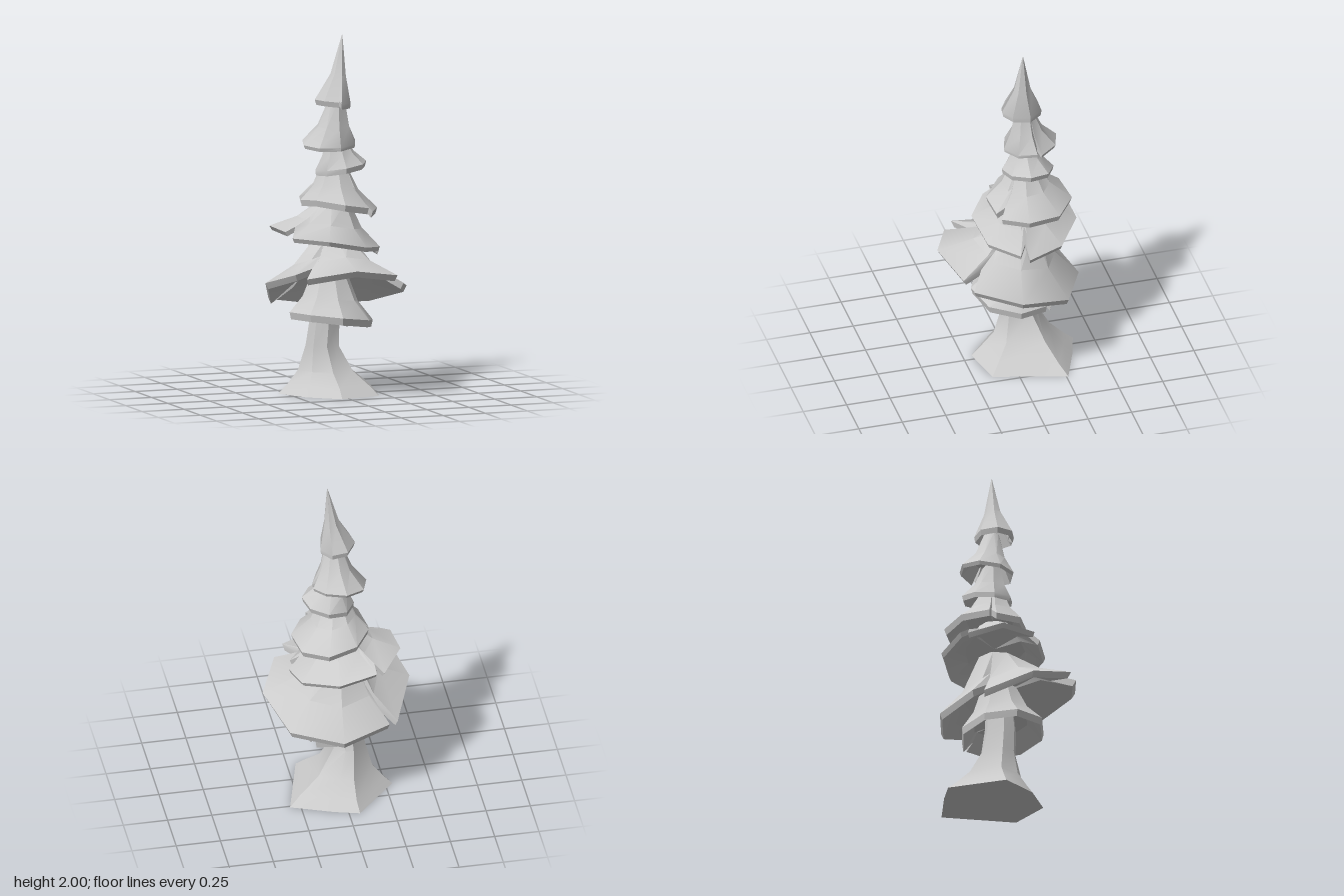
import * as THREE from 'three';
import { toCreasedNormals } from 'three/addons/utils/BufferGeometryUtils.js';

const V = (x, y, z) => new THREE.Vector3(x, y, z);
const material = new THREE.MeshStandardMaterial({ color: 0xcccccc });

// Skin a stack of equal-length rings (counter-clockwise from above) and cap both ends.
function loft(name, rings) {
  const n = rings[0].length;
  const pos = [];
  const tri = (...points) => points.forEach((p) => pos.push(p.x, p.y, p.z));
  const middle = (ring) => ring.reduce((sum, p) => sum.add(p), V(0, 0, 0)).divideScalar(n);
  const first = rings[0], last = rings[rings.length - 1];
  const low = middle(first), high = middle(last);
  for (let i = 0; i < n; i++) {
    const j = (i + 1) % n;
    tri(low, first[j], first[i]);
    for (let k = 0; k < rings.length - 1; k++) {
      const a = rings[k], b = rings[k + 1];
      tri(a[i], a[j], b[j]);
      tri(a[i], b[j], b[i]);
    }
    tri(high, last[i], last[j]);
  }
  const geometry = new THREE.BufferGeometry();
  geometry.setAttribute('position', new THREE.Float32BufferAttribute(pos, 3));
  const mesh = new THREE.Mesh(toCreasedNormals(geometry, 0.55), material);
  mesh.name = name;
  return mesh;
}

// Tilted polygonal rim; each split corner becomes two corners with a notch between them.
function rimOutline({ centre: [cx, cy, cz], radii: [rx, rz], tilt: [tx, tz], sides, turn, splits, notch }) {
  const point = (degrees, reach, lift) => {
    const a = THREE.MathUtils.degToRad(degrees);
    const x = rx * reach * Math.sin(a), z = rz * reach * Math.cos(a);
    return V(cx + x, cy + tx * x + tz * z + lift, cz + z);
  };
  const rim = [];
  for (let i = 0; i < sides; i++) {
    const a = turn + (i * 360) / sides;
    if (splits.includes(i)) rim.push(point(a - 5, 1, 0), point(a, notch, 0.12 * rx), point(a + 5, 1, -0.08 * rx));
    else rim.push(point(a, 1, 0));
  }
  return rim;
}

// Ragged skirt of branches: narrow neck, concave slope, thick rim, hollow underside.
function branchTier(name, tier) {
  const [nx, ny, nz, radius] = tier.neck;
  const rim = rimOutline(tier);
  const neck = rim.map((p) => {
    const a = Math.atan2(p.x - nx, p.z - nz);
    return V(nx + radius * Math.sin(a), ny, nz + radius * Math.cos(a));
  });
  const between = (out, down, offset) => rim.map((p, i) => {
    const q = neck[i].clone().lerp(p, out);
    q.y = THREE.MathUtils.lerp(ny, p.y, down) - offset;
    return q;
  });
  const under = between(0.4, 0.62, tier.drop * 1.2);
  const lip = between(0.94, 1, tier.drop);
  const slope = between(0.42, 0.6, 0);
  return loft(name, [under, lip, rim, slope, neck]);
}

// Trunk: uneven root outline on the ground, blending up into a leaning round stem.
function trunk() {
  const roots = [[-0.04, 0.2], [0.2, 0.145], [0.31, -0.26], [0.08, -0.35],
    [-0.06, -0.39], [-0.29, -0.14], [-0.2, 0.06]];
  // y, centre x, centre z, radius, share of root outline
  const levels = [[0, 0, -0.07, 0.1, 1], [0.05, -0.01, -0.08, 0.12, 0.7], [0.13, -0.03, -0.09, 0.11, 0.28],
    [0.27, -0.05, -0.075, 0.09, 0.04], [0.42, -0.04, -0.06, 0.088, 0], [0.6, -0.02, -0.06, 0.08, 0]];
  return loft('trunk', levels.map(([y, cx, cz, r, share]) => roots.map(([x, z]) => {
    const a = Math.atan2(x, z + 0.08);
    return V(cx + r * Math.sin(a), y, cz + r * Math.cos(a)).lerp(V(x, y, z), share);
  })));
}

export function createModel() {
  const tree = new THREE.Group();
  tree.name = 'coniferTree';
  tree.add(trunk());
  // neck: x, y, z, radius; tilt: rise of the rim per unit of x and z
  tree.add(branchTier('lowestBranches', {
    neck: [-0.02, 0.68, -0.06, 0.1], centre: [-0.015, 0.435, -0.035], radii: [0.24, 0.24],
    tilt: [-0.13, 0.06], drop: 0.04, sides: 8, turn: -5, splits: [3], notch: 0.8,
  }));
  tree.add(branchTier('widestBranches', {
    neck: [0, 0.87, -0.06, 0.11], centre: [0, 0.615, 0], radii: [0.41, 0.4],
    tilt: [-0.08, 0.31], drop: 0.035, sides: 8, turn: -4, splits: [1, 5, 7], notch: 0.68,
  }));
  tree.add(branchTier('lowerMiddleBranches', {
    neck: [0.01, 1.07, -0.07, 0.09], centre: [-0.03, 0.875, -0.1], radii: [0.31, 0.29],
    tilt: [-0.2, -0.04], drop: 0.025, sides: 8, turn: -15, splits: [2, 5, 7], notch: 0.82,
  }));
  tree.add(branchTier('middleBranches', {
    neck: [0.02, 1.29, -0.08, 0.06], centre: [0.055, 1.06, -0.105], radii: [0.215, 0.24],
    tilt: [-0.17, 0.02], drop: 0.035, sides: 8, turn: -13, splits: [1, 6], notch: 0.8,
  }));
  tree.add(branchTier('upperMiddleBranches', {
    neck: [0.03, 1.44, -0.08, 0.05], centre: [0.065, 1.265, -0.095], radii: [0.145, 0.145],
    tilt: [0.15, 0.03], drop: 0.03, sides: 8, turn: -8, splits: [], notch: 1,
  }));
  tree.add(branchTier('upperBranches', {
    neck: [0.035, 1.64, -0.08, 0.045], centre: [0.005, 1.395, -0.125], radii: [0.155, 0.155],
    tilt: [0.05, -0.1], drop: 0.02, sides: 8, turn: 5, splits: [2], notch: 0.68,
  }));
  tree.add(branchTier('treeTop', {
    neck: [0.063, 2, -0.068, 0.002], centre: [0.01, 1.63, -0.075], radii: [0.1, 0.115],
    tilt: [-0.12, 0.05], drop: 0.03, sides: 7, turn: 0, splits: [0], notch: 0.75,
  }));
  return tree;
}
